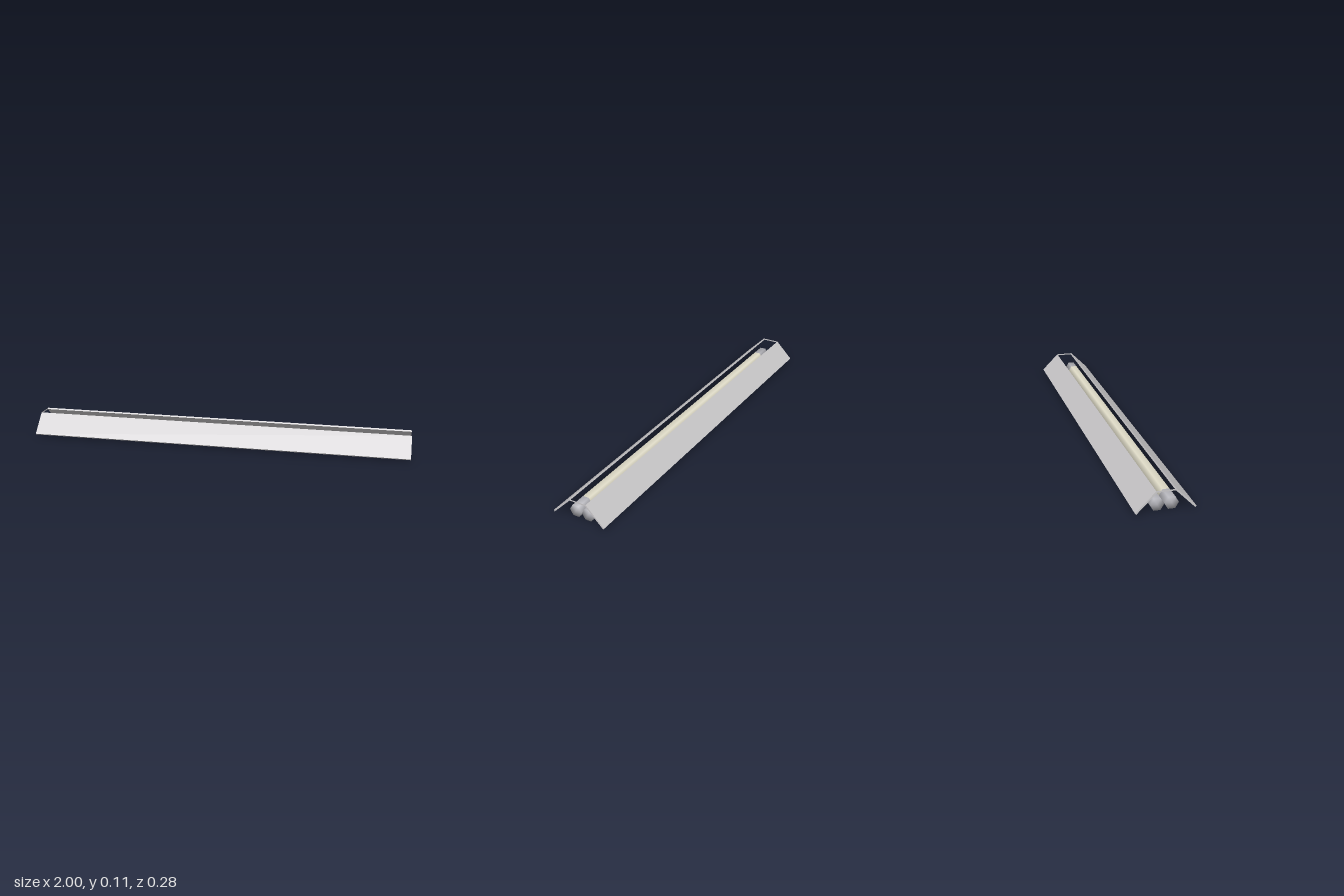
import * as THREE from 'three';

export function createModel() {
  const group = new THREE.Group();
  group.name = 'tubeLamp';
  const metal = new THREE.MeshStandardMaterial({ color: 0xcccacc, side: THREE.DoubleSide });
  metal.name = 'pale grey metal';
  const glass = new THREE.MeshStandardMaterial({ color: 0xe4e0cc });
  glass.name = 'cream glass';
  const capGrey = new THREE.MeshStandardMaterial({ color: 0xb4b4ba });
  capGrey.name = 'cap grey';

  const add = (name, geometry, material) => {
    const mesh = new THREE.Mesh(geometry, material);
    mesh.name = name;
    group.add(mesh);
    return mesh;
  };
  // Cross-section given as [z, y] points
  const section = (points, side = 1) =>
    new THREE.Shape(points.map(([z, y]) => new THREE.Vector2(z * side, y)));

  // Sloping reflector panels, mitred at the top and cut square at the bottom
  const panel = [[0.14, 0.015], [0.046, 0.109], [0.042, 0.102], [0.134, 0.009]];
  for (const [name, side] of [['frontPanel', 1], ['backPanel', -1]]) {
    const g = new THREE.ExtrudeGeometry(section(panel, side), { depth: 2, bevelEnabled: false });
    g.rotateY(-Math.PI / 2).translate(1, 0, 0);
    add(name, g, metal);
  }

  // Narrow strips joining the panels at both ends; the top between them is open
  const strip = [[-0.046, 0.109], [-0.042, 0.102], [0.042, 0.102], [0.046, 0.109]];
  for (const [name, x] of [['leftEndStrip', 1], ['rightEndStrip', -1]]) {
    const g = new THREE.ShapeGeometry(section(strip));
    g.rotateY(-Math.PI / 2).translate(x, 0, 0);
    add(name, g, metal);
  }

  // Two smooth-shaded six-sided tubes with grey end caps
  const r = 0.0325, half = 0.97, seam = 0.89;
  const profile = (...points) => points.map(([x, y]) => new THREE.Vector2(x, y));
  const tube = new THREE.LatheGeometry(profile([r, -seam], [r, seam]), 6);
  const cap = new THREE.LatheGeometry(profile([0, -half], [r, -half], [r, -seam]), 6);
  for (const [name, z] of [['front', 0.036], ['back', -0.031]]) {
    const parts = [
      add(name + 'Tube', tube, glass),
      add(name + 'TubeLeftCap', cap, capGrey),
      add(name + 'TubeRightCap', cap, capGrey),
    ];
    parts.forEach((mesh, i) => {
      mesh.position.set(0, 0.0285, z);
      mesh.rotation.z = i === 2 ? -Math.PI / 2 : Math.PI / 2;
    });
  }
  return group;
}
